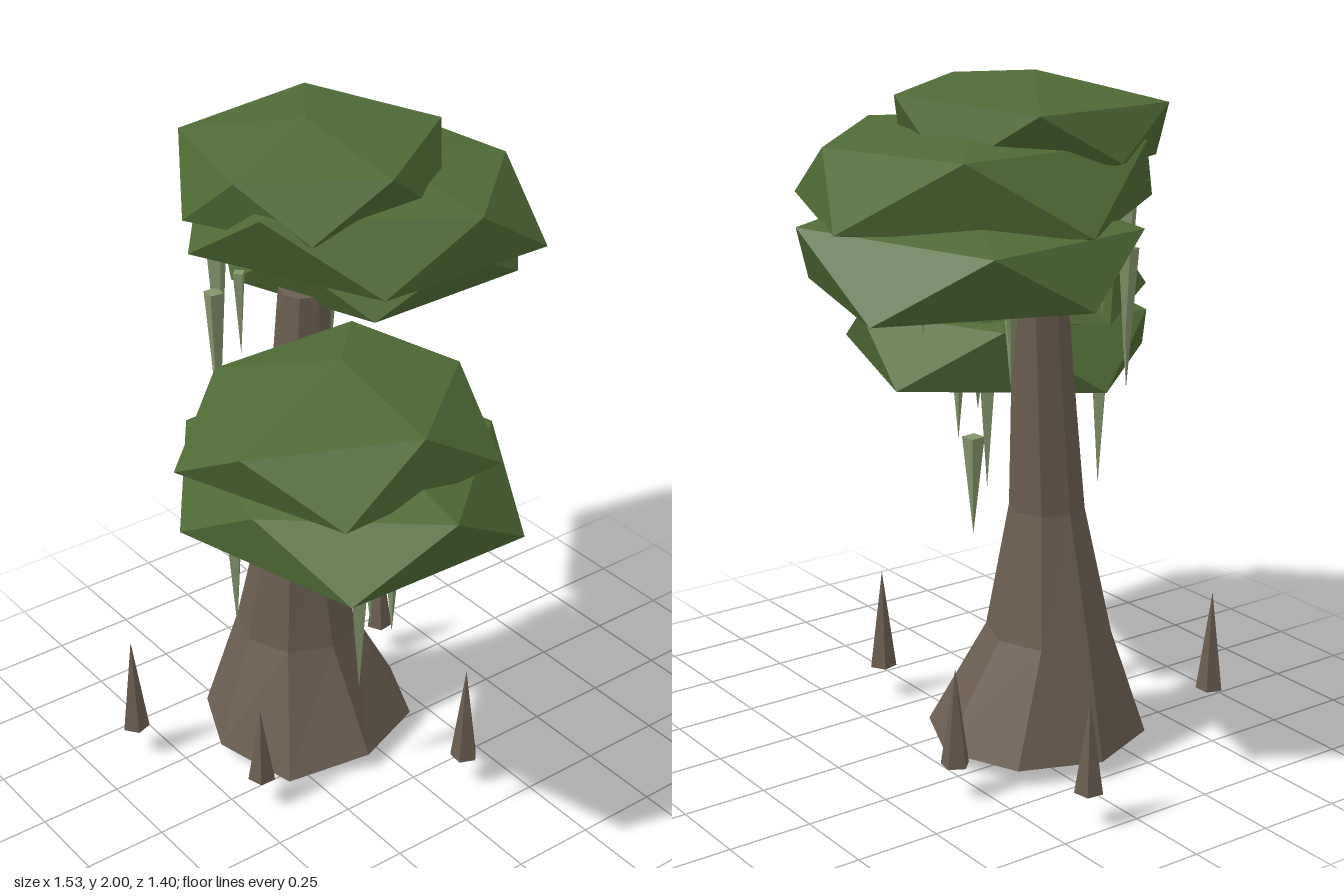
import * as THREE from 'three';

const flat = (color, name) => {
  const m = new THREE.MeshStandardMaterial({ color, flatShading: true });
  m.name = name;
  return m;
};

// Faceted crown: top point, upper ring of five, lower ring of five, bottom point
function crownGeometry(top, upper, lower, bottom) {
  const pos = [];
  const tri = (a, b, c) => pos.push(...a, ...b, ...c);
  for (let i = 0; i < 5; i++) {
    const j = (i + 1) % 5;
    tri(top, upper[j], upper[i]);
    tri(upper[i], upper[j], lower[i]);
    tri(lower[i], upper[j], lower[j]);
    tri(bottom, lower[i], lower[j]);
  }
  const g = new THREE.BufferGeometry();
  g.setAttribute('position', new THREE.Float32BufferAttribute(pos, 3));
  g.computeVertexNormals();
  return g;
}

// Eight-sided trunk; each ring is [y, centre x, centre z, radius x, radius z], top first
function trunkGeometry() {
  const rings = [
    [1.5, -0.2, 0.06, 0.075, 0.075],
    [1.05, -0.2, 0.085, 0.092, 0.095],
    [0.74, -0.2, 0.1, 0.11, 0.11],
    [0.37, -0.22, 0.095, 0.19, 0.18],
    [0.05, -0.185, 0.08, 0.315, 0.33],
  ];
  const g = new THREE.CylinderGeometry(1, 1, 4, 8, 4);
  const p = g.attributes.position;
  for (let i = 0; i < p.count; i++) {
    const [y, cx, cz, rx, rz] = rings[Math.round(2 - p.getY(i))];
    const x = p.getX(i), z = p.getZ(i);
    // the flared foot dips toward its front left corner
    const dip = y < 0.1 && x > 0.5 && z > 0.5 ? 0.05 : 0;
    p.setXYZ(i, cx + x * rx, y - dip, cz + z * rz);
  }
  g.computeVertexNormals();
  return g;
}

export function createModel() {
  const root = new THREE.Group();
  root.name = 'swampTree';
  const bark = flat(0x6b5d50, 'bark');
  const leaf = flat(0x4f6b35, 'leaf');
  const moss = flat(0x84956c, 'moss');

  const add = (name, geometry, material, parent = root) => {
    const mesh = new THREE.Mesh(geometry, material);
    mesh.name = name;
    parent.add(mesh);
    return mesh;
  };
  const group = (name) => {
    const g = new THREE.Group();
    g.name = name;
    root.add(g);
    return g;
  };

  add('trunk', trunkGeometry(), bark);

  // Front crown, two layers
  const front = group('frontCrown');
  add('frontCrownLower', crownGeometry([0.24, 1.36, 0.25],
    [[0.76, 1.27, 0.28], [0.38, 1.24, 0.65], [-0.14, 1.25, 0.51], [-0.15, 1.26, -0.02], [0.36, 1.24, -0.17]],
    [[0.67, 1.08, 0.55], [0.09, 1.07, 0.69], [-0.28, 1.07, 0.25], [0.08, 1.07, -0.23], [0.68, 1.08, -0.02]],
    [0.28, 0.97, 0.28]), leaf, front);
  add('frontCrownUpper', crownGeometry([0.23, 1.51, 0.25],
    [[0.6, 1.44, 0.26], [0.36, 1.41, 0.67], [-0.03, 1.45, 0.48], [-0.03, 1.45, 0.02], [0.31, 1.43, -0.09]],
    [[0.62, 1.27, 0.53], [0.09, 1.26, 0.7], [-0.28, 1.27, 0.26], [0.08, 1.27, -0.18], [0.59, 1.27, -0.01]],
    [0.2, 1.17, 0.26]), leaf, front);

  // Back crown, three layers
  const back = group('backCrown');
  add('backCrownLower', crownGeometry([-0.3, 1.72, -0.25],
    [[0.13, 1.63, -0.25], [-0.17, 1.63, 0.15], [-0.67, 1.64, 0.05], [-0.71, 1.63, -0.46], [-0.17, 1.65, -0.7]],
    [[0.05, 1.47, 0], [-0.42, 1.47, 0.16], [-0.77, 1.47, -0.19], [-0.5, 1.45, -0.69], [0.02, 1.46, -0.55]],
    [-0.28, 1.4, -0.2]), leaf, back);
  add('backCrownMiddle', crownGeometry([-0.2, 1.89, -0.15],
    [[0.3, 1.83, -0.17], [-0.02, 1.84, 0.33], [-0.54, 1.84, 0.16], [-0.54, 1.84, -0.43], [-0.03, 1.82, -0.53]],
    [[0.25, 1.65, 0.12], [-0.33, 1.64, 0.36], [-0.7, 1.64, -0.14], [-0.32, 1.65, -0.68], [0.25, 1.65, -0.45]],
    [-0.2, 1.54, -0.15]), leaf, back);
  add('backCrownUpper', crownGeometry([-0.21, 2, 0.04],
    [[0.18, 1.95, 0.04], [-0.11, 1.92, 0.35], [-0.51, 1.93, 0.26], [-0.56, 1.94, -0.21], [-0.09, 1.95, -0.34]],
    [[0.09, 1.78, 0.24], [-0.32, 1.75, 0.38], [-0.6, 1.8, 0.03], [-0.32, 1.77, -0.33], [0.09, 1.77, -0.2]],
    [-0.21, 1.68, 0.03]), leaf, back);

  // Root knees standing round the trunk: x, z, tip height
  const knees = group('rootKnees');
  [[-0.37, 0.6, 0.41], [0.07, 0.435, 0.34], [0.355, -0.11, 0.41], [-0.7, -0.13, 0.37], [-0.35, -0.33, 0.39]]
    .forEach(([x, z, tip], i) => {
      const h = tip - 0.1;
      const knee = add('rootKnee', new THREE.ConeGeometry(0.042, h, 5), bark, knees);
      knee.position.set(x, 0.1 + h / 2, z);
      knee.rotation.y = i * 0.9;
    });

  // Hanging moss strands: x, z, top, tip, radius
  const strands = group('hangingMoss');
  [
    [0.05, 0.49, 1.08, 0.66, 0.034], [0.15, 0.09, 0.86, 0.55, 0.034], [0.41, 0.33, 0.95, 0.58, 0.034],
    [0.44, 0.24, 1.02, 0.75, 0.024], [-0.01, 0.2, 1.08, 0.92, 0.016], [0.16, 0.32, 1.02, 0.89, 0.016],
    [0.21, 0.15, 1.04, 0.92, 0.016], [-0.355, 0.25, 1.64, 1.17, 0.032], [-0.33, 0.28, 1.5, 1.09, 0.03],
    [-0.29, 0.22, 1.56, 1.3, 0.02], [-0.36, -0.15, 1.45, 1.17, 0.026], [-0.39, -0.18, 1.45, 1.3, 0.016],
    [-0.29, -0.39, 1.45, 1.33, 0.016],
  ].forEach(([x, z, top, tip, r], i) => {
    const strand = add('mossStrand', new THREE.ConeGeometry(r, top - tip, 4), moss, strands);
    strand.position.set(x, (top + tip) / 2, z);
    strand.rotation.set(Math.PI, i * 0.7, 0);
  });

  return root;
}
